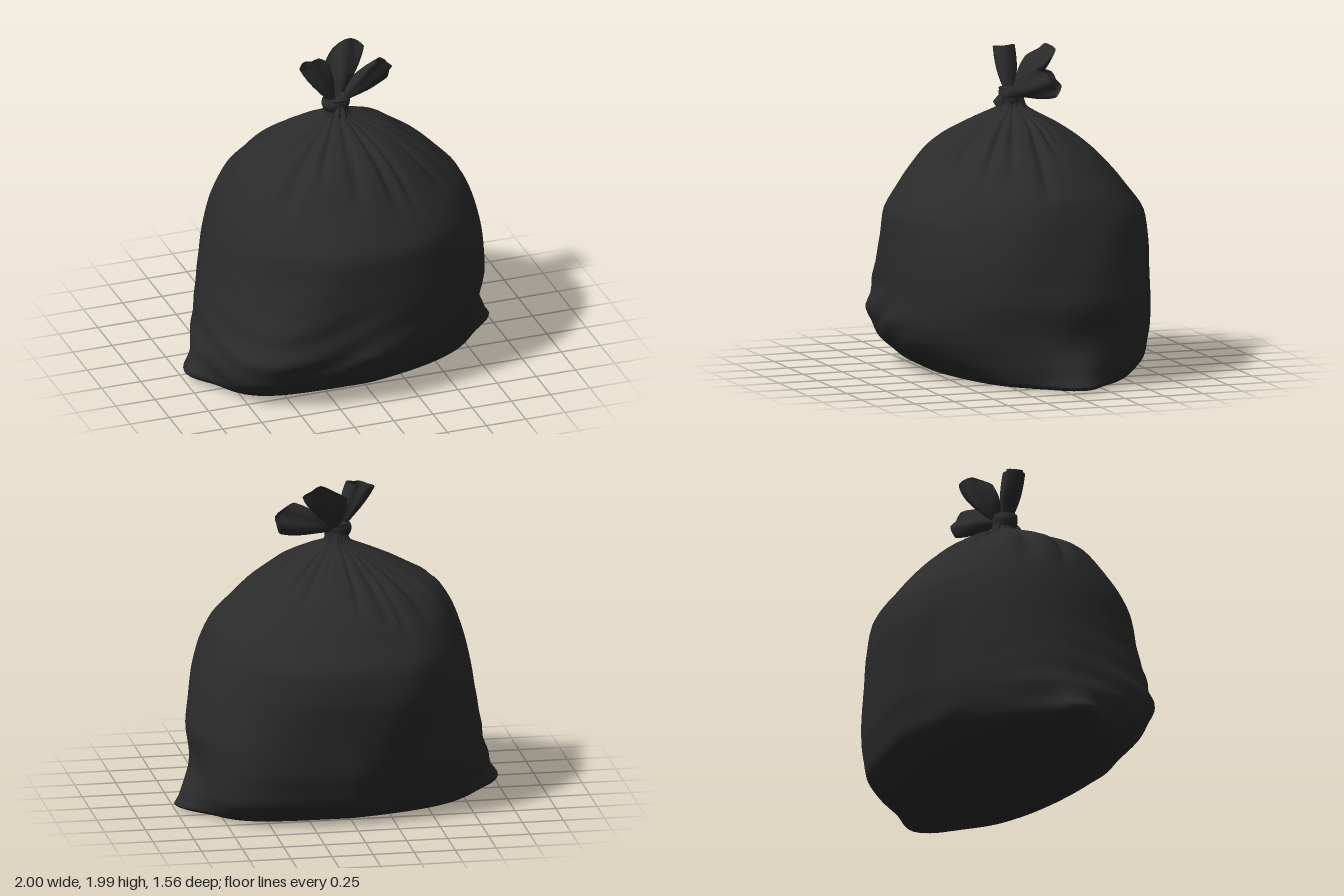
import * as THREE from 'three';

const SEG = 160;
const { smoothstep, lerp } = THREE.MathUtils;

// Skin over rings of points; each ring runs from +x towards +z, rings go upwards
function loft(rings) {
  const n = rings[0].length, pos = [], idx = [];
  for (const ring of rings) for (const p of ring) pos.push(p.x, p.y, p.z);
  for (let i = 0; i < rings.length - 1; i++) {
    for (let j = 0; j < n; j++) {
      const k = (j + 1) % n;
      const a = i * n + j, c = i * n + k, b = a + n, d = c + n;
      idx.push(a, b, c, c, b, d);
    }
  }
  const g = new THREE.BufferGeometry();
  g.setAttribute('position', new THREE.Float32BufferAttribute(pos, 3));
  g.setIndex(idx);
  g.computeVertexNormals();
  return g;
}

// Outline by height: y, reach to -x, reach to +x, front, back, corner ears at -x and +x
const PROFILE = [
  [0.008, 0.82, 0.82, 0.48, 0.50, 0.02, 0.13],
  [0.03, 0.86, 0.84, 0.53, 0.54, 0.10, 0.155],
  [0.07, 0.88, 0.85, 0.58, 0.59, 0.11, 0.12],
  [0.14, 0.89, 0.86, 0.66, 0.65, 0.06, 0.08],
  [0.24, 0.91, 0.87, 0.73, 0.68, 0.01, 0.02],
  [0.34, 0.89, 0.88, 0.765, 0.71, 0, 0],
  [0.50, 0.86, 0.905, 0.765, 0.735, 0, 0],
  [0.66, 0.825, 0.885, 0.77, 0.76, 0, 0],
  [0.80, 0.80, 0.86, 0.765, 0.775, 0, 0],
  [0.98, 0.765, 0.81, 0.75, 0.75, 0, 0],
  [1.12, 0.725, 0.75, 0.66, 0.65, 0, 0],
  [1.22, 0.68, 0.66, 0.585, 0.575, 0, 0],
  [1.33, 0.60, 0.55, 0.50, 0.475, 0, 0],
  [1.42, 0.45, 0.43, 0.41, 0.37, 0, 0],
  [1.50, 0.29, 0.33, 0.28, 0.25, 0, 0],
  [1.56, 0.16, 0.19, 0.17, 0.14, 0, 0],
  [1.60, 0.09, 0.08, 0.09, 0.08, 0, 0],
  [1.66, 0.06, 0.06, 0.06, 0.06, 0, 0],
];

const angleGap = (a, b) => Math.atan2(Math.sin(a - b), Math.cos(a - b));
const bump = (d, w) => Math.exp(-((d / w) ** 2));

// Gathered pleats running down from the neck
function makePleats() {
  let seed = 11;
  const rnd = () => (seed = (seed * 16807) % 2147483647) / 2147483647;
  const pleats = [];
  for (let i = 0; i < 22; i++) {
    pleats.push({
      angle: ((i + rnd() * 0.8) / 22) * Math.PI * 2,
      depth: 0.06 + rnd() * 0.12,
      width: 0.035 + rnd() * 0.05,
      end: 1.0 + rnd() * 0.35,
      lean: (rnd() - 0.5) * 0.4,
    });
  }
  return pleats;
}

function bodyRings() {
  const curve = (f) => new THREE.CatmullRomCurve3(PROFILE.map(f), false, 'catmullrom', 0.4);
  const cx = curve((p) => new THREE.Vector3(p[1], p[2], p[0]));
  const cz = curve((p) => new THREE.Vector3(p[3], p[4], 0));
  const ce = curve((p) => new THREE.Vector3(p[5], p[6], 0));
  const pleats = makePleats(), rings = [], rows = (PROFILE.length - 1) * 4;
  for (let i = 0; i <= rows; i++) {
    const t = i / rows, X = cx.getPoint(t), Z = cz.getPoint(t), E = ce.getPoint(t), y = X.z;
    const up = smoothstep(y, 0, 0.9);
    const square = lerp(1.7, 0.1, up), trim = lerp(0.07, 0.01, up);
    const ring = [];
    for (let j = 0; j < SEG; j++) {
      const th = (j / SEG) * Math.PI * 2, c = Math.cos(th), s = Math.sin(th), skew = Math.sin(2 * th);
      const a = c < 0 ? X.x : X.y, b = s > 0 ? Z.x : Z.y;
      // the footprint is squarer on one diagonal and trimmed on the other
      const n = 2.1 + square * Math.max(0, -skew);
      let r = Math.pow(Math.pow(Math.abs(c / a), n) + Math.pow(Math.abs(s / b), n), -1 / n);
      r *= 1 - trim * Math.max(0, skew);
      // pinched bottom corners
      r += E.x * bump(angleGap(th, Math.PI - 0.08), 0.16) + E.y * bump(angleGap(th, -0.11), 0.18);
      // pleats
      let pull = 0;
      for (const p of pleats) {
        const k = smoothstep(y, p.end, 1.52);
        pull += k * p.depth * bump(angleGap(th, p.angle + p.lean * (1.55 - y)), p.width);
      }
      r *= 1.012 - Math.min(pull, 0.25);
      // soft slanted wrinkles, strongest low on the -x side of the front
      const mid = smoothstep(y, 0.03, 0.2) * (1 - smoothstep(y, 0.9, 1.4));
      const patch = bump(y - 0.32, 0.25) * bump(angleGap(th, 2.3), 0.9);
      r += mid * 0.006 * Math.sin(5 * th + 6 * y + 1.5 * Math.sin(3 * th));
      r += mid * patch * 0.011 * Math.sin(32 * y + 3 * Math.sin(3 * th + 1) + 3 * th);
      ring.push(new THREE.Vector3(c * r, y, s * r));
    }
    rings.push(ring);
  }
  return rings;
}

// Loose flap above the knot: a flattened sleeve widening from the root to the edge left-right
function flapGeometry(root, left, right, crown, thick, mouth) {
  const v = (p) => new THREE.Vector3(...p);
  const R = v(root), mid = v(left).add(v(right)).multiplyScalar(0.5);
  const half = v(right).sub(v(left)).multiplyScalar(0.5);
  const along = mid.clone().sub(R);
  const out = new THREE.Vector3().crossVectors(half, along).normalize();
  const dir = along.clone().normalize(), rings = [];
  for (let i = 0; i <= 10; i++) {
    const t = i / 10, ring = [];
    const w = 0.24 + 0.76 * Math.pow(Math.sin((t * Math.PI) / 2), 1.2);
    const d = lerp(0.03, mouth, t) + thick * Math.sin(Math.PI * t);
    for (let j = 0; j < 24; j++) {
      const a = (j / 24) * Math.PI * 2, u = Math.cos(a), q = Math.sin(a);
      const fold = 0.012 * t * Math.cos(u * 6);
      ring.push(R.clone().addScaledVector(along, t).addScaledVector(half, u * w)
        .addScaledVector(out, q * d + fold)
        .addScaledVector(dir, crown * t * t * (1 - u * u)));
    }
    rings.push(ring);
  }
  return loft(rings);
}

export function createModel() {
  const group = new THREE.Group();
  const plastic = new THREE.MeshStandardMaterial({ color: 0x2b2b2b, side: THREE.DoubleSide });
  plastic.name = 'blackPlastic';
  const add = (name, geometry, parent = group) => {
    const m = new THREE.Mesh(geometry, plastic);
    m.name = name;
    parent.add(m);
    return m;
  };

  // Sack and its flat underside
  const rings = bodyRings();
  add('sack', loft(rings));
  const pos = [0, 0, 0], idx = [];
  rings[0].forEach((p, j) => {
    pos.push(p.x, p.y, p.z);
    idx.push(0, j + 1, ((j + 1) % SEG) + 1);
  });
  const under = new THREE.BufferGeometry();
  under.setAttribute('position', new THREE.Float32BufferAttribute(pos, 3));
  under.setIndex(idx);
  under.computeVertexNormals();
  add('underside', under);

  // Knot: a tapered core with two crossing wraps
  const knot = new THREE.Group();
  knot.name = 'knot';
  knot.position.set(-0.01, 1.66, 0.01);
  group.add(knot);
  for (const [tilt, y, r] of [[0.12, 0.018, 0.054], [-0.25, -0.008, 0.046]]) {
    const wrap = add('knotWrap', new THREE.TorusGeometry(r, 0.034, 10, 28).rotateX(Math.PI / 2), knot);
    wrap.scale.set(1, 1.3, 0.85);
    wrap.rotation.set(tilt * 0.8, 0, tilt);
    wrap.position.y = y;
  }
  add('knotCore', new THREE.CylinderGeometry(0.075, 0.06, 0.1, 16), knot);

  // Loose ends
  add('sideUpFlap', flapGeometry([-0.03, 1.68, 0.01], [-0.235, 1.925, -0.01], [-0.065, 1.955, 0.02], 0.005, 0.015, 0.055));
  add('backUpFlap', flapGeometry([0.02, 1.69, -0.02], [-0.05, 1.88, -0.1], [0.23, 1.92, -0.17], 0.095, 0.025, 0.012));
  add('sideFlap', flapGeometry([0.03, 1.68, -0.02], [0.26, 1.865, -0.06], [0.36, 1.70, -0.15], 0.07, 0.025, 0.025));
  add('tuckedEnd', flapGeometry([0, 1.67, 0.03], [-0.05, 1.62, 0.1], [0.03, 1.61, 0.11], 0.01, 0.01, 0.005));
  return group;
}
